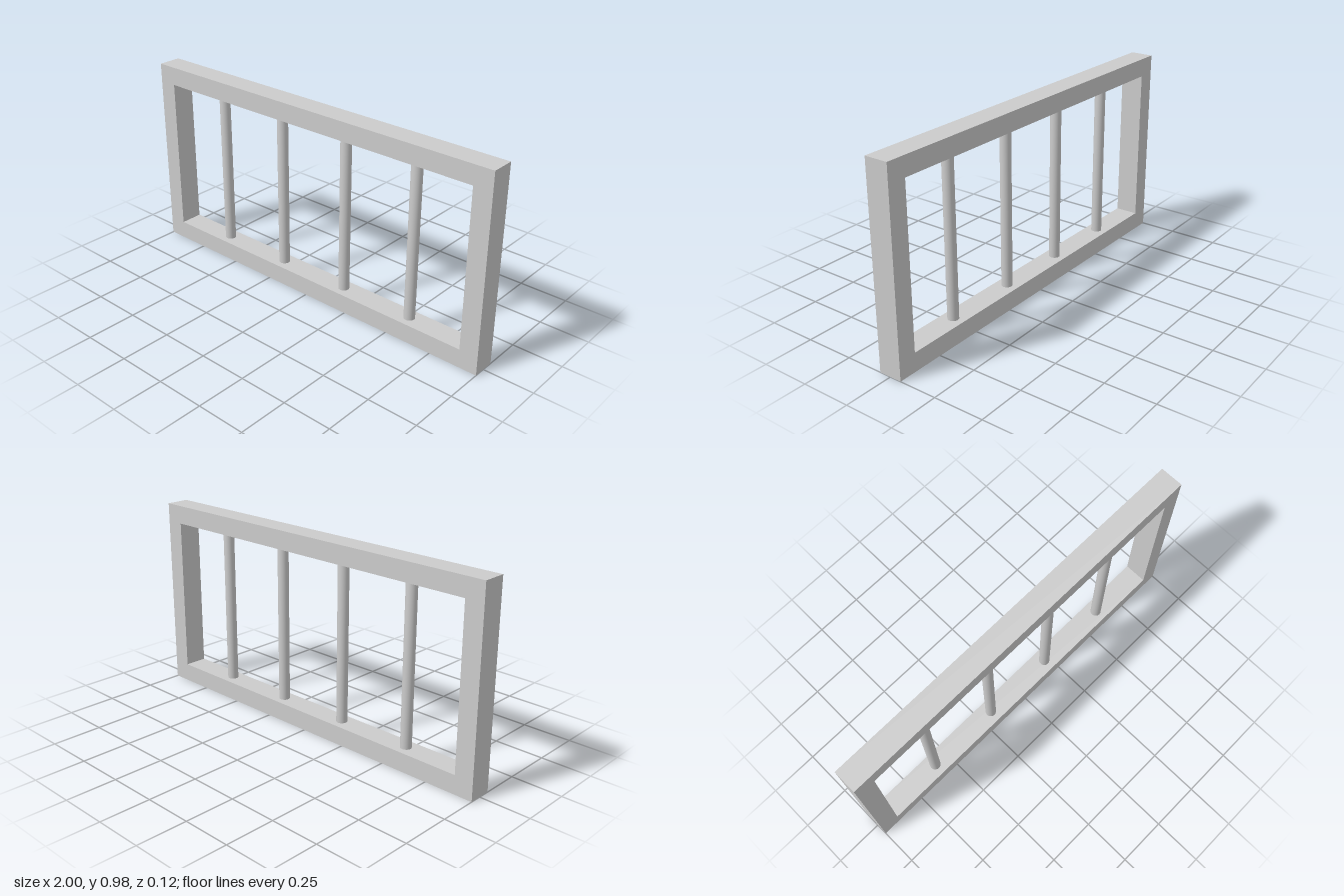
import * as THREE from 'three';
import { mergeVertices } from 'three/addons/utils/BufferGeometryUtils.js';

const WIDTH = 2, HEIGHT = 0.984, DEPTH = 0.118, RAIL = 0.094;
const BAR_RADIUS = 0.027, BAR_SPACING = 0.394, BAR_COUNT = 4;

// Rectangle outline resting on y = inset, shrunk on every side by inset
function outline(path, inset) {
  const x = WIDTH / 2 - inset, top = HEIGHT - inset;
  path.moveTo(-x, inset);
  path.lineTo(x, inset);
  path.lineTo(x, top);
  path.lineTo(-x, top);
  path.closePath();
  return path;
}

export function createModel() {
  const group = new THREE.Group();
  group.name = 'barredWindow';
  const material = new THREE.MeshStandardMaterial({ color: 0xcccccc });

  // Square-section frame around one rectangular opening
  const shape = outline(new THREE.Shape(), 0);
  shape.holes.push(outline(new THREE.Path(), RAIL));
  const frameGeometry = new THREE.ExtrudeGeometry(shape, { depth: DEPTH, bevelEnabled: false });
  frameGeometry.translate(0, 0, -DEPTH / 2);
  const frame = new THREE.Mesh(frameGeometry, material);
  frame.name = 'frame';
  group.add(frame);

  // Round bars, shaded smoothly across their welded end caps
  let barGeometry = new THREE.CylinderGeometry(BAR_RADIUS, BAR_RADIUS, HEIGHT - 2 * RAIL, 32);
  barGeometry.deleteAttribute('normal');
  barGeometry.deleteAttribute('uv');
  barGeometry = mergeVertices(barGeometry);
  barGeometry.computeVertexNormals();
  for (let i = 0; i < BAR_COUNT; i++) {
    const bar = new THREE.Mesh(barGeometry, material);
    bar.name = `bar${i + 1}`;
    bar.position.set((i - (BAR_COUNT - 1) / 2) * BAR_SPACING, HEIGHT / 2, 0);
    group.add(bar);
  }

  return group;
}
